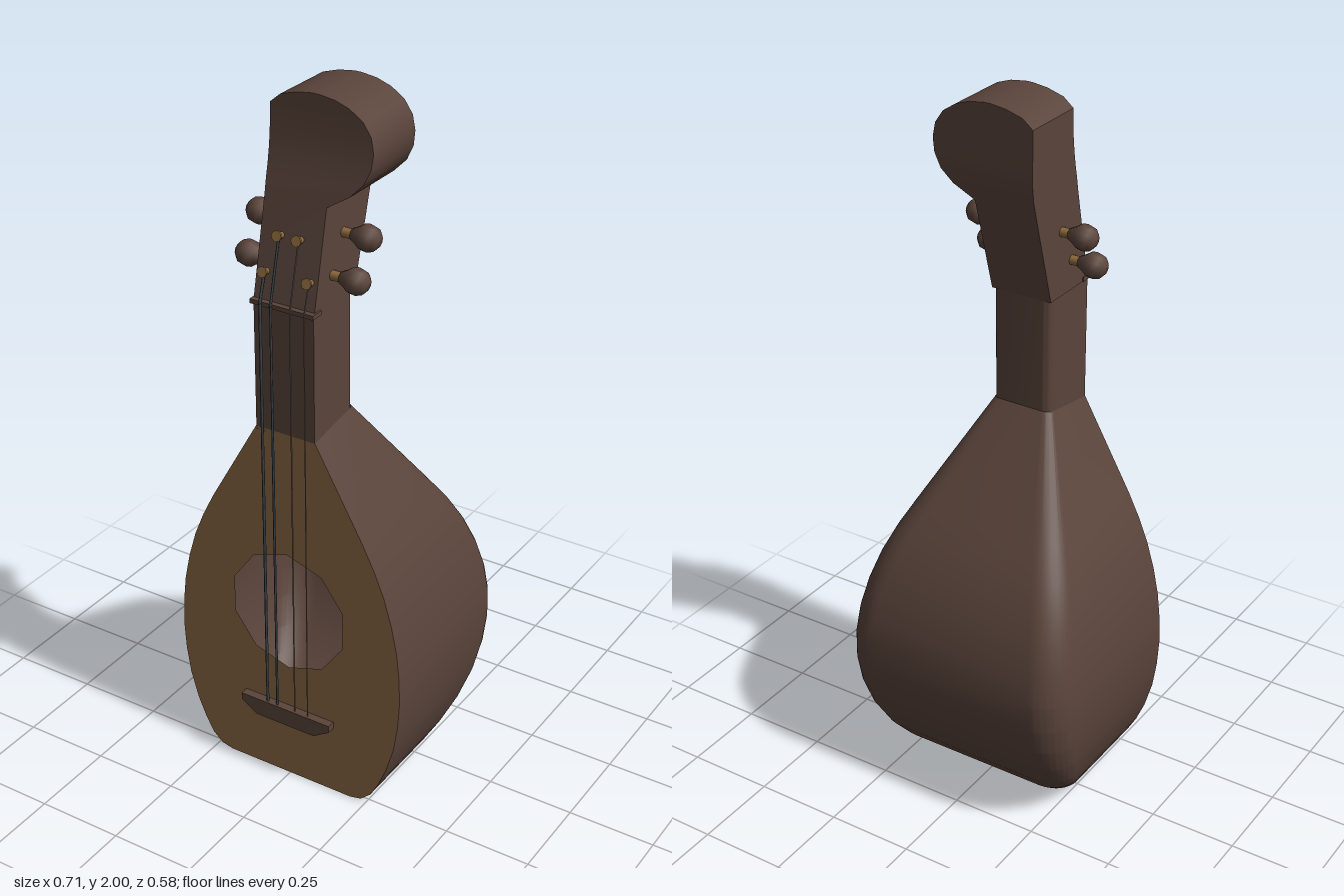
import * as THREE from 'three';
import { toCreasedNormals } from 'three/addons/utils/BufferGeometryUtils.js';

const mat = (name, color, side = THREE.FrontSide) => {
  const m = new THREE.MeshStandardMaterial({ color, side });
  m.name = name;
  return m;
};

// Skin equal-length loops stacked upward (counterclockwise seen from above)
function loft(loops, { closed = true, capBottom = true, capTop = true, crease = 0.5 } = {}) {
  const n = loops[0].length, pos = [], idx = [];
  loops.forEach(l => l.forEach(p => pos.push(...p)));
  const span = closed ? n : n - 1;
  for (let r = 0; r < loops.length - 1; r++) {
    for (let i = 0; i < span; i++) {
      const a = r * n + i, b = r * n + (i + 1) % n;
      idx.push(a, b, b + n, a, b + n, a + n);
    }
  }
  const top = (loops.length - 1) * n;
  for (let i = 1; i < n - 1; i++) {
    if (capBottom) idx.push(0, i + 1, i);
    if (capTop) idx.push(top, top + i, top + i + 1);
  }
  const g = new THREE.BufferGeometry();
  g.setAttribute('position', new THREE.Float32BufferAttribute(pos, 3));
  g.setIndex(idx);
  return toCreasedNormals(g, crease);
}

const FRONT = 0.268;

// U-shaped section: flat front edge, straight sides, rounded back corners
function section(y, w, back, lift = 0) {
  const r = w * 0.27, steps = 8, pts = [[w, y, FRONT]];
  const put = (x, z) => pts.push([x, y + lift * (FRONT - z) / (FRONT - back), z]);
  for (const side of [0, 1]) {
    for (let i = 0; i <= steps; i++) {
      const a = (side + i / steps) * Math.PI / 2;
      put((side ? -1 : 1) * (w - r) + r * Math.cos(a), back + r - r * Math.sin(a));
    }
  }
  pts.push([-w, y, FRONT]);
  return pts;
}

export function createModel() {
  const model = new THREE.Group();
  model.name = 'lute';
  const wood = mat('darkWood', 0x5a443b);
  const shellWood = mat('shellWood', 0x5a443b, THREE.DoubleSide);
  const boardWood = mat('soundboardWood', 0x8a6744, THREE.DoubleSide);
  const brass = mat('brass', 0x8e6a3e);
  const bassString = mat('bassString', 0x3a454d);
  const trebleString = mat('trebleString', 0x7b6a58);

  const add = (name, geo, m, parent = model) => {
    const mesh = new THREE.Mesh(geo, m);
    mesh.name = name;
    parent.add(mesh);
    return mesh;
  };

  // Bowl: height, half width, back depth, lift of the back edge
  const rows = [
    [0, 0.2, -0.02], [0.008, 0.235, -0.055], [0.035, 0.265, -0.1], [0.08, 0.29, -0.15],
    [0.14, 0.315, -0.2], [0.22, 0.338, -0.245], [0.3, 0.35, -0.274], [0.38, 0.355, -0.288],
    [0.46, 0.352, -0.29], [0.54, 0.343, -0.277], [0.62, 0.326, -0.253], [0.7, 0.302, -0.218],
    [0.77, 0.273, -0.178], [0.84, 0.238, -0.129], [1.1, 0.091, 0.08, 0.03],
  ];
  add('bowl', loft(rows.map(r => section(...r)), { closed: false, capTop: false, crease: 0.25 }), shellWood);

  // Soundboard with a ten-sided sound hole
  const board = new THREE.Shape([
    ...rows.map(([y, w]) => new THREE.Vector2(w, y)),
    ...rows.map(([y, w]) => new THREE.Vector2(-w, y)).reverse(),
  ]);
  const hole = [];
  for (let i = 0; i < 10; i++) {
    const a = i * Math.PI / 5;
    hole.push(new THREE.Vector2(0.183 * Math.sin(a), 0.548 + 0.183 * Math.cos(a)));
  }
  board.holes.push(new THREE.Path(hole));
  add('soundboard', new THREE.ShapeGeometry(board), boardWood).position.z = FRONT;

  // Neck and nut
  add('neck', loft([section(1.09, 0.09, 0.082), section(1.46, 0.09, 0.082)]), wood);
  add('nut', new THREE.BoxGeometry(0.19, 0.012, 0.04), wood).position.set(0, 1.461, 0.259);

  // Head leaning back, then curling to one side: y, right x, left x, front z, back z
  const headRows = [
    [1.455, -0.092, 0.09, 0.266, 0.08], [1.728, -0.092, 0.09, 0.207, 0.002],
    [1.765, -0.092, 0.15, 0.2, -0.008], [1.8, -0.092, 0.184, 0.192, -0.013],
    [1.84, -0.092, 0.202, 0.185, -0.014], [1.88, -0.092, 0.206, 0.18, -0.014],
    [1.92, -0.092, 0.198, 0.178, -0.014], [1.955, -0.092, 0.174, 0.177, -0.014],
    [1.98, -0.062, 0.136, 0.177, -0.014], [1.994, -0.015, 0.095, 0.177, -0.014],
    [2, 0.03, 0.05, 0.177, -0.014],
  ];
  add('head', loft(headRows.map(([y, x0, x1, f, b]) =>
    [[x1, y, f], [x1, y, b], [x0, y, b], [x0, y, f]]), { crease: 0.6 }), wood);

  // Bridge, wide at the top and chamfered below
  const bridge = new THREE.Shape([
    [-0.095, 0.183], [0.095, 0.183], [0.145, 0.215], [0.145, 0.236], [-0.145, 0.236], [-0.145, 0.215],
  ].map(p => new THREE.Vector2(...p)));
  add('bridge', new THREE.ExtrudeGeometry(bridge, { depth: 0.024, bevelEnabled: false }), wood)
    .position.z = FRONT;

  // Tuning pegs on both sides
  const knobGeo = new THREE.LatheGeometry([
    [0, 0.115], [0.016, 0.117], [0.024, 0.133], [0.034, 0.148], [0.036, 0.163],
    [0.031, 0.181], [0.018, 0.193], [0, 0.197],
  ].map(p => new THREE.Vector2(...p)), 10);
  const shaftGeo = new THREE.CylinderGeometry(0.014, 0.014, 0.05, 8).translate(0, 0.1, 0);
  for (const side of [1, -1]) {
    for (const [y, z] of [[1.54, 0.182], [1.637, 0.13]]) {
      const peg = new THREE.Group();
      peg.name = 'tuningPeg';
      add('pegKnob', knobGeo, wood, peg);
      add('pegShaft', shaftGeo, brass, peg);
      peg.position.set(0, y, z);
      peg.rotation.z = -side * Math.PI / 2;
      model.add(peg);
    }
  }

  // Strings run from the bridge over the nut to their posts
  const rod = (name, from, to, r, m) => {
    const a = new THREE.Vector3(...from), d = new THREE.Vector3(...to).sub(a);
    const mesh = add(name, new THREE.CylinderGeometry(r, r, d.length(), 6), m);
    mesh.position.copy(a).addScaledVector(d, 0.5);
    mesh.quaternion.setFromUnitVectors(new THREE.Vector3(0, 1, 0), d.normalize());
  };
  const strings = [
    [-0.062, 1.54, 0.247, 0.004, bassString], [-0.03, 1.637, 0.227, 0.0034, bassString],
    [0.028, 1.637, 0.227, 0.002, trebleString], [0.07, 1.54, 0.247, 0.0016, trebleString],
  ];
  for (const [x, y, z, r, m] of strings) {
    rod('string', [x, 0.22, 0.283], [x, 1.463, 0.281], r, m);
    rod('stringEnd', [x, 1.463, 0.281], [x, y, z + 0.012], r, m);
    const post = new THREE.Group();
    post.name = 'stringPost';
    add('postStem', new THREE.CylinderGeometry(0.009, 0.009, 0.03, 8), brass, post);
    add('postCap', new THREE.CylinderGeometry(0.015, 0.013, 0.009, 8), brass, post).position.y = 0.016;
    post.position.set(x, y, z + 0.004);
    post.rotation.x = 1.352;
    model.add(post);
  }
  return model;
}
